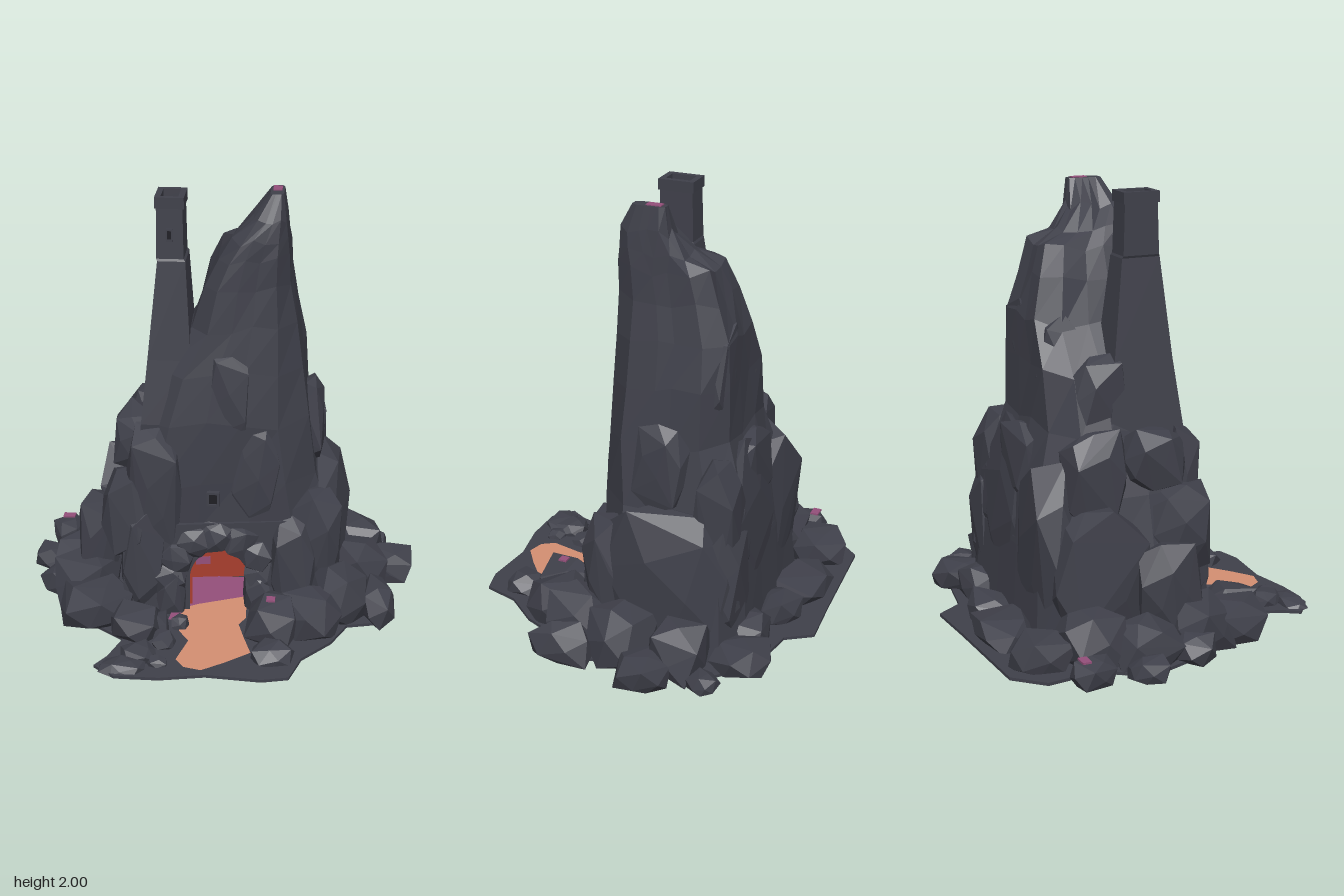
import * as THREE from 'three';
import { ConvexGeometry } from 'three/addons/geometries/ConvexGeometry.js';

const mat = (name, color, side = THREE.FrontSide) => {
  const m = new THREE.MeshStandardMaterial({ color, side });
  m.name = name;
  return m;
};

// Small seeded random generator
function seeded(seed) {
  let s = seed * 7919 + 17;
  return () => {
    s = (s * 1664525 + 1013904223) % 4294967296;
    return s / 4294967296;
  };
}

// Faceted loft through rings of equal point count, capped at both ends
function loft(rings) {
  const n = rings[0].length, pos = [];
  const tri = (...ps) => ps.forEach((p) => pos.push(p.x, p.y, p.z));
  const mid = (r) => r.reduce((s, p) => s.add(p), new THREE.Vector3()).divideScalar(n);
  const first = rings[0], last = rings[rings.length - 1];
  const c0 = mid(first), c1 = mid(last);
  for (let j = 0; j < n; j++) {
    const k = (j + 1) % n;
    for (let i = 0; i + 1 < rings.length; i++) {
      const a = rings[i], b = rings[i + 1];
      tri(a[j], b[j], a[k]);
      tri(a[k], b[j], b[k]);
    }
    tri(c0, first[j], first[k]);
    tri(c1, last[k], last[j]);
  }
  const g = new THREE.BufferGeometry();
  g.setAttribute('position', new THREE.Float32BufferAttribute(pos, 3));
  g.computeVertexNormals();
  return g;
}

// Angular boulder at height y: hull of jittered points on a superellipsoid, cut flat at the ground
function boulder(w, h, d, seed, y, count = 18) {
  const rnd = seeded(seed), pts = [];
  for (let i = 0; i < count; i++) {
    const v = 1 - (2 * (i + 0.5)) / count, r = Math.sqrt(1 - v * v), t = i * 2.39996 + seed;
    const p = new THREE.Vector3(r * Math.cos(t), v, r * Math.sin(t));
    const l5 = Math.pow(Math.abs(p.x) ** 5 + Math.abs(p.y) ** 5 + Math.abs(p.z) ** 5, 0.2);
    p.multiplyScalar((0.86 + 0.26 * rnd()) / l5);
    pts.push(new THREE.Vector3((p.x * w) / 2, Math.max(0.004 - y, (p.y * h) / 2), (p.z * d) / 2));
  }
  return new ConvexGeometry(pts);
}

// Flat outline from [x, z] pairs
const outline = (pts, zSign) => new THREE.Shape(pts.map(([x, z]) => new THREE.Vector2(x, z * zSign)));

// Round-headed arch standing on the floor
function arch(Type, r) {
  const s = new Type();
  s.moveTo(-r, 0.006);
  s.lineTo(r, 0.006);
  s.lineTo(r, 0.19);
  s.absarc(0, 0.19, r, 0, Math.PI);
  s.closePath();
  return s;
}

export function createModel() {
  const group = new THREE.Group();
  const rock = mat('dark rock', 0x3f404a);
  const dark = mat('window dark', 0x1d1d23);
  const sand = mat('path orange', 0xd48f72);
  const glow = mat('cave red', 0xa83e2d);
  const purple = mat('purple patch', 0x94507a);
  const under = mat('underside purple', 0x6f4574);
  const underPath = mat('underside red', 0xa65063);
  const add = (name, geo, material, x = 0, y = 0, z = 0) => {
    const m = new THREE.Mesh(geo, material);
    m.name = name;
    m.position.set(x, y, z);
    group.add(m);
    return m;
  };
  const box = (name, w, h, d, material, x, y, z) => add(name, new THREE.BoxGeometry(w, h, d), material, x, y, z);
  const floor = (name, pts, material, y) => add(name, new THREE.ShapeGeometry(outline(pts, -1)).rotateX(-Math.PI / 2), material, 0, y, 0);

  // Ground slab and its underside
  const ground = [[-0.5, 0.73], [-0.4, 0.81], [-0.2, 0.81], [0, 0.77], [0.25, 0.79], [0.37, 0.76], [0.42, 0.6],
    [0.55, 0.45], [0.62, 0.3], [0.78, 0.26], [0.74, 0], [0.78, -0.2], [0.68, -0.5], [0.5, -0.66], [0.24, -0.7],
    [0.16, -0.82], [-0.1, -0.8], [-0.63, -0.77], [-0.75, -0.64], [-0.72, -0.4], [-0.85, -0.2], [-0.78, 0],
    [-0.65, 0.2], [-0.6, 0.35], [-0.4, 0.5], [-0.45, 0.65]];
  const slab = new THREE.ExtrudeGeometry(outline(ground, -1), { depth: 0.014, bevelEnabled: false });
  add('groundSlab', slab.rotateX(-Math.PI / 2), rock, 0, 0.004, 0);
  add('underside', new THREE.ShapeGeometry(outline(ground, 1)).rotateX(Math.PI / 2), under, 0, 0.002, 0);
  const strip = [[-0.33, 0.8], [-0.2, 0.8], [0, 0.765], [0.22, 0.78], [0.21, 0.5], [0.18, 0.1], [0.13, -0.2],
    [-0.06, -0.3], [-0.15, 0.1], [-0.18, 0.45]];
  add('undersideStrip', new THREE.ShapeGeometry(outline(strip, 1)).rotateX(Math.PI / 2), underPath);

  // Path leading out of the cave, with the purple cave floor behind it
  floor('path', [[-0.15, 0.21], [-0.08, 0.17], [0.14, 0.08], [0.15, 0.28], [0.12, 0.34], [0.15, 0.45], [0.19, 0.58],
    [0.08, 0.67], [-0.02, 0.74], [-0.1, 0.72], [-0.14, 0.66], [-0.1, 0.5], [-0.15, 0.42], [-0.17, 0.3]], sand, 0.022);
  floor('caveFloor', [[-0.15, -0.1], [0.14, -0.1], [0.14, 0.08], [-0.08, 0.17], [-0.15, 0.21]], purple, 0.022);
  floor('pathPatch', [[-0.21, 0.33], [-0.17, 0.33], [-0.15, 0.24], [-0.2, 0.24]], purple, 0.026);

  // Main spire: [y, left, right, back, front], hollowed low at the front for the cave
  const levels = [[0.005, -0.56, 0.58, -0.56, -0.14], [0.4, -0.5, 0.53, -0.53, -0.14], [0.43, -0.49, 0.52, -0.53, 0.19],
    [0.65, -0.42, 0.46, -0.51, 0.19], [0.95, -0.34, 0.41, -0.43, 0.19], [1.2, -0.26, 0.385, -0.42, 0.17],
    [1.4, -0.12, 0.35, -0.41, 0.15], [1.58, -0.06, 0.325, -0.36, 0.13], [1.72, 0, 0.315, -0.32, 0.12],
    [1.79, 0.06, 0.31, -0.21, 0.11], [1.88, 0.15, 0.3, -0.14, 0.09], [1.995, 0.225, 0.285, -0.125, 0.03]];
  const rnd = seeded(5), sides = 16;
  const rings = levels.map(([y, x0, x1, z0, z1], i) => Array.from({ length: sides }, (_, j) => {
    const t = ((j + 0.5) / sides) * Math.PI * 2, c = Math.cos(t), s = Math.sin(t);
    const k = (0.97 + 0.05 * rnd()) / Math.pow(c ** 8 + s ** 8, 1 / 8);
    const x = (x0 + x1) / 2 + (c * k * (x1 - x0)) / 2;
    const skew = (s > 0 ? 0.15 : 0.04) * x * Math.min(1, (2 - y) * 2);
    const z = (z0 + z1) / 2 + (s * k * (z1 - z0)) / 2 - skew;
    const wobble = i < 3 || i === levels.length - 1 ? 0 : (rnd() - 0.5) * 0.05;
    return new THREE.Vector3(x, y + wobble, z);
  }));
  add('mainSpire', loft(rings), rock);
  box('peakPatch', 0.04, 0.006, 0.07, purple, 0.255, 1.996, -0.07);

  // Square watchtower: [y, left, right, back, front]
  const tower = [[0.75, -0.36, -0.08, -0.18, 0.17], [0.95, -0.34, -0.09, -0.17, 0.18], [1.25, -0.31, -0.115, -0.14, 0.14],
    [1.7, -0.265, -0.14, -0.085, 0.095], [1.71, -0.27, -0.148, -0.08, 0.09], [1.94, -0.268, -0.152, -0.073, 0.083]];
  add('watchtower', loft(tower.map(([y, x0, x1, z0, z1]) =>
    [[x1, z0], [x1, z1], [x0, z1], [x0, z0]].map(([x, z]) => new THREE.Vector3(x, y, z)))), rock);
  for (const s of [-1, 1]) {
    box('towerRimSide', 0.026, 0.05, 0.17, rock, -0.21 + s * 0.052, 1.962, 0.005);
    box('towerRimEnd', 0.13, 0.05, 0.026, rock, -0.21, 1.962, 0.005 + s * 0.072);
  }

  // Framed windows
  const windowAt = (x, y, z, w, h) => {
    box('windowPane', w, h, 0.008, dark, x, y, z);
    for (const s of [-1, 1]) {
      box('windowJamb', w * 0.25, h * 1.3, 0.02, rock, x + s * w * 0.6, y, z);
      box('windowSill', w * 1.4, h * 0.2, 0.024, rock, x, y + s * h * 0.6, z);
    }
  };
  windowAt(-0.21, 1.82, 0.088, 0.02, 0.04);
  windowAt(-0.01, 0.6, 0.205, 0.04, 0.05);

  // Cave: pierced front wall, red lining and back
  const wall = outline([[-0.46, 0.006], [0.44, 0.006], [0.44, 0.4], [0.3, 0.47], [-0.32, 0.47], [-0.46, 0.4]], 1);
  wall.holes.push(arch(THREE.Path, 0.15));
  const lining = arch(THREE.Shape, 0.152);
  lining.holes.push(arch(THREE.Path, 0.135));
  const cave = new THREE.Group();
  cave.name = 'cave';
  cave.rotation.y = 0.15;
  group.add(cave);
  [['caveWall', wall, 0.31, rock], ['caveLining', lining, 0.26, glow], ['caveBack', arch(THREE.Shape, 0.16), 0.01, glow]]
    .forEach(([name, shape, depth, material]) => {
      cave.add(add(name, new THREE.ExtrudeGeometry(shape, { depth, bevelEnabled: false }), material, 0, 0, -0.11));
    });
  cave.add(box('cavePatch', 0.07, 0.04, 0.006, purple, -0.07, 0.115, -0.098));
  cave.add(box('cavePatch', 0.05, 0.05, 0.006, purple, 0.085, 0.24, -0.098));

  // Stones ringing the mouth
  for (let i = 0; i < 7; i++) {
    const t = (i / 6) * Math.PI;
    const x = Math.cos(t) * 0.21;
    const stone = add('archStone', boulder(0.15, 0.16, 0.1, 40 + i, 0.2), rock, x, 0.19 + Math.sin(t) * 0.205, 0.185 - x * 0.15);
    stone.rotation.z = t;
  }
  for (const s of [-1, 1]) add('archPier', boulder(0.15, 0.26, 0.14, 60 + s, 0.1), rock, s * 0.205, 0.1, 0.18 - s * 0.03);

  // Crags against the spire: [x, y, z, w, h, d]
  const crags = [[-0.38, 0.81, 0.02, 0.2, 0.3, 0.28], [-0.4, 0.5, 0.12, 0.24, 0.42, 0.3], [-0.57, 0.26, 0, 0.2, 0.46, 0.28],
    [-0.34, 0.28, 0.2, 0.2, 0.54, 0.16], [-0.36, 0.74, -0.26, 0.22, 0.46, 0.3], [-0.44, 0.34, -0.28, 0.28, 0.6, 0.44],
    [-0.25, 1.05, -0.2, 0.16, 0.44, 0.26], [0.42, 0.86, -0.17, 0.13, 0.42, 0.24], [0.37, 0.56, -0.43, 0.26, 0.7, 0.2],
    [0.48, 0.33, -0.22, 0.25, 0.68, 0.62], [0.46, 0.32, 0.06, 0.24, 0.5, 0.22], [0.36, 0.25, 0.14, 0.22, 0.46, 0.16],
    [0.14, 0.43, -0.44, 0.52, 0.94, 0.2], [-0.24, 0.4, -0.43, 0.46, 0.82, 0.22], [0.4, 0.32, -0.44, 0.26, 0.6, 0.22],
    [0.06, 0.72, -0.41, 0.36, 0.46, 0.22], [-0.28, 0.62, 0.18, 0.24, 0.66, 0.16], [0.16, 0.7, 0.13, 0.24, 0.5, 0.1],
    [0.04, 1.05, 0.13, 0.2, 0.5, 0.1], [0.18, 1.22, -0.37, 0.3, 0.5, 0.1], [-0.02, 1.18, -0.3, 0.26, 0.5, 0.22]];
  crags.forEach(([x, y, z, w, h, d], i) => add('crag', boulder(w, h, d, i + 100, y, 24), rock, x, y, z));

  // Boulders around the foot: [x, z, w, d, height]
  const foot = [[-0.56, -0.6, 0.26, 0.26, 0.16], [-0.22, -0.64, 0.34, 0.26, 0.12], [0.05, -0.6, 0.26, 0.22, 0.13],
    [0.33, -0.56, 0.26, 0.2, 0.17], [0.52, -0.6, 0.28, 0.27, 0.13], [0.75, -0.51, 0.14, 0.13, 0.08],
    [0.81, -0.24, 0.25, 0.25, 0.15], [0.64, -0.35, 0.28, 0.26, 0.24], [0.66, -0.08, 0.28, 0.3, 0.26],
    [0.76, 0.17, 0.16, 0.27, 0.17], [0.57, 0.18, 0.28, 0.3, 0.26], [0.28, 0.37, 0.25, 0.3, 0.19],
    [0.45, 0.32, 0.28, 0.3, 0.19], [0.29, 0.6, 0.18, 0.18, 0.09], [-0.55, 0.3, 0.34, 0.33, 0.19],
    [-0.35, 0.42, 0.22, 0.24, 0.15], [-0.62, 0.12, 0.3, 0.28, 0.23], [-0.76, 0.04, 0.18, 0.18, 0.13],
    [-0.69, -0.16, 0.28, 0.3, 0.2], [-0.85, -0.22, 0.16, 0.19, 0.1], [-0.8, -0.46, 0.17, 0.19, 0.12],
    [-0.6, -0.38, 0.3, 0.28, 0.25], [-0.15, 0.37, 0.08, 0.08, 0.07], [-0.21, 0.53, 0.1, 0.11, 0.07],
    [-0.31, 0.64, 0.16, 0.14, 0.07], [-0.22, 0.69, 0.09, 0.08, 0.05], [-0.37, 0.74, 0.2, 0.12, 0.05],
    [-0.26, 0.42, 0.12, 0.14, 0.1]];
  foot.forEach(([x, z, w, d, h], i) => add('footBoulder', boulder(w, h * 1.3, d, i + 200, h * 0.35), rock, x, h * 0.35, z));
  box('boulderPatch', 0.04, 0.009, 0.04, purple, 0.27, 0.198, 0.4);
  box('boulderPatch', 0.06, 0.009, 0.04, purple, -0.81, 0.118, -0.5);
  return group;
}
